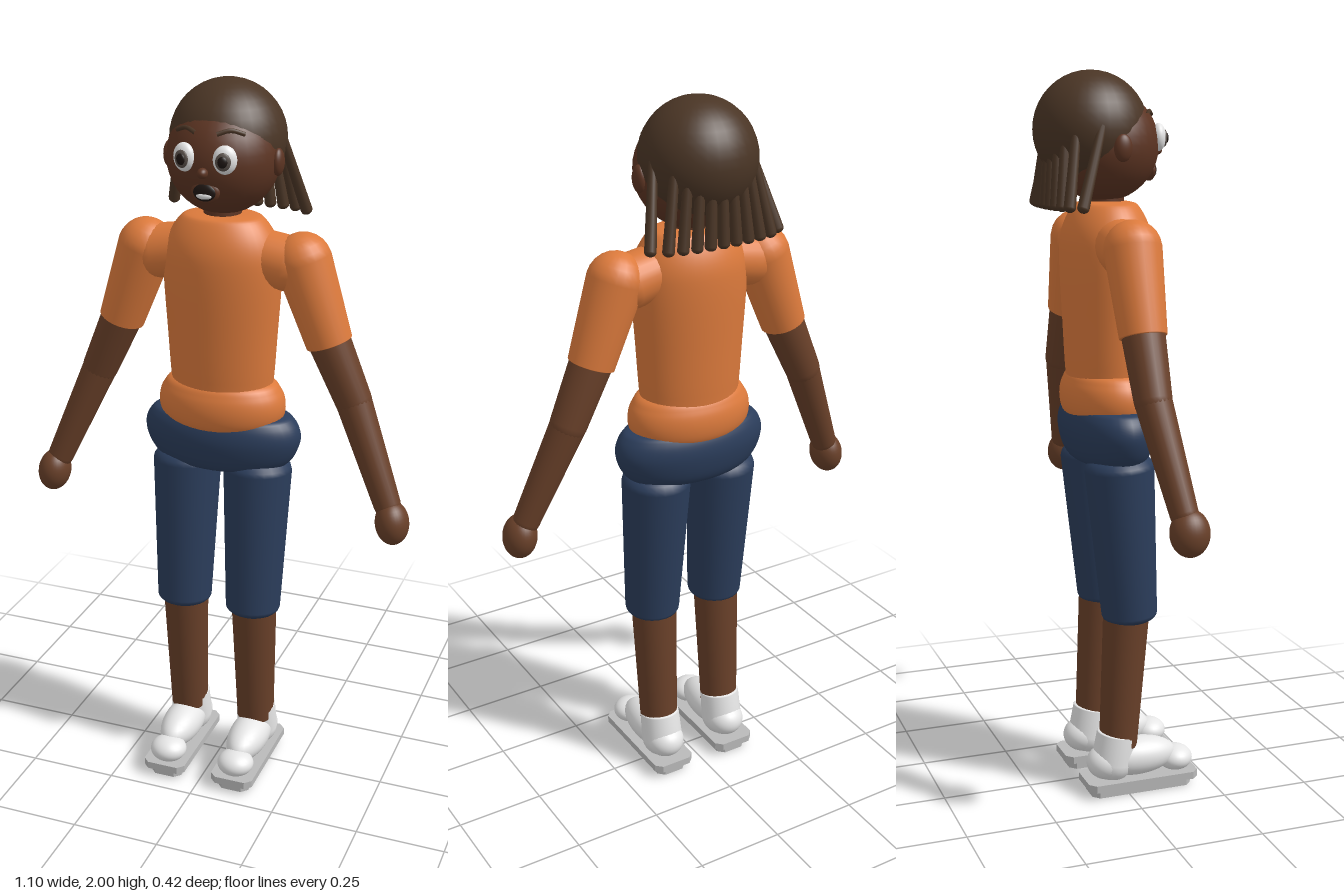
import * as THREE from 'three';

const mat = (name, color) => Object.assign(new THREE.MeshStandardMaterial({ color }), { name });
const M = {
  face: mat('face skin', 0x5c3422),
  skin: mat('limb skin', 0x694029),
  hair: mat('hair brown', 0x4a3525),
  shirt: mat('shirt orange', 0xdc7a3c),
  pants: mat('trouser blue', 0x2b3d5b),
  white: mat('white', 0xe6e6e6),
  sole: mat('sole grey', 0xbababa),
  dark: mat('dark', 0x1d1512),
  iris: mat('iris grey', 0x5a514b),
};
const V = (x, y, z) => new THREE.Vector3(x, y, z);

export function createModel() {
  const model = new THREE.Group();
  model.name = 'person';

  const add = (name, geo, material, parent = model) => {
    const mesh = new THREE.Mesh(geo, material);
    mesh.name = name;
    parent.add(mesh);
    return mesh;
  };

  const ball = (name, material, p, r, parent) => {
    const mesh = add(name, new THREE.SphereGeometry(1, 32, 20), material, parent);
    mesh.position.set(...p);
    mesh.scale.set(...r);
    return mesh;
  };

  // Tapered limb from a to b; capA and capB set how domed each end is
  const limb = (name, material, a, b, ra, rb, capA = 1, capB = 1, parent = model, seg = 24) => {
    const len = a.distanceTo(b);
    const pts = [];
    for (let i = 0; i <= 6; i++) {
      const t = (i / 6) * Math.PI / 2;
      pts.push(new THREE.Vector2(ra * Math.sin(t), -ra * capA * Math.cos(t)));
    }
    for (let i = 6; i >= 0; i--) {
      const t = (i / 6) * Math.PI / 2;
      pts.push(new THREE.Vector2(rb * Math.sin(t), len + rb * capB * Math.cos(t)));
    }
    const mesh = add(name, new THREE.LatheGeometry(pts, seg), material, parent);
    mesh.position.copy(a);
    mesh.quaternion.setFromUnitVectors(V(0, 1, 0), b.clone().sub(a).normalize());
    return mesh;
  };

  // Oval body section turned from a profile of [radius, y], bottom to top
  const oval = (name, material, profile, depth, z) => {
    const curve = new THREE.SplineCurve(profile.map(p => new THREE.Vector2(...p)));
    const pts = curve.getPoints(40).map(p => p.setX(Math.max(0, p.x)));
    const mesh = add(name, new THREE.LatheGeometry(pts, 40), material);
    mesh.scale.z = depth;
    mesh.position.z = z;
  };

  // Torso, shirt hem and hips
  oval('torso', M.shirt, [[0, 1.1], [0.13, 1.13], [0.143, 1.19], [0.153, 1.33], [0.163, 1.5],
    [0.154, 1.58], [0.118, 1.64], [0.085, 1.655], [0, 1.658]], 0.75, -0.017);
  oval('shirtHem', M.shirt, [[0, 1.055], [0.12, 1.06], [0.166, 1.082], [0.18, 1.125],
    [0.168, 1.17], [0.13, 1.2], [0, 1.21]], 0.69, -0.015);
  oval('hips', M.pants, [[0, 0.935], [0.14, 0.945], [0.197, 0.972], [0.225, 1.035],
    [0.21, 1.085], [0.165, 1.105], [0, 1.11]], 0.53, -0.018);
  limb('neck', M.face, V(0, 1.6, -0.015), V(0, 1.7, -0.02), 0.052, 0.05);

  // Head and hair cap
  const C = V(0, 1.805, -0.025), R = 0.15;
  const onHead = (x, y, off = 0) =>
    V(x, y, C.z + Math.sqrt(R * R - x * x - (y - C.y) ** 2) + off);
  ball('head', M.face, C.toArray(), [R, R, R]);
  ball('hairCap', M.hair, [0, 1.845, -0.06], [0.155, 0.155, 0.155]);

  // Locks fanned around the back of the head
  for (let i = 0; i <= 10; i++) {
    const u = -1 + i / 5, back = Math.sqrt(1 - u * u);
    limb('hairLock', M.hair, V(0.14 * u, 1.86, -0.075 - 0.1 * back),
      V(0.19 * u, 1.65, -0.145 - 0.04 * back), 0.012, 0.016, 1, 0.8, model, 12);
  }

  // Nose and mouth
  ball('nose', M.face, [0, 1.79, 0.127], [0.014, 0.014, 0.018]);
  ball('lips', M.face, [0, 1.738, 0.107], [0.039, 0.03, 0.014]);
  ball('mouth', M.dark, [0, 1.738, 0.112], [0.032, 0.024, 0.012]);
  ball('teeth', M.white, [0, 1.73, 0.118], [0.022, 0.009, 0.008]);

  for (const s of [-1, 1]) {
    const side = new THREE.Group();
    side.name = s > 0 ? 'leftSide' : 'rightSide';
    model.add(side);

    // Eye, brow and ear
    const turn = s * 0.25;
    ball('eyeWhite', M.white, [s * 0.055, 1.825, 0.113], [0.031, 0.037, 0.02], side).rotation.y = turn;
    ball('iris', M.iris, [s * 0.056, 1.823, 0.13], [0.02, 0.023, 0.007], side).rotation.y = turn;
    ball('pupil', M.dark, [s * 0.056, 1.823, 0.134], [0.013, 0.015, 0.007], side).rotation.y = turn;
    const brow = new THREE.CatmullRomCurve3([[0.028, 1.885], [0.06, 1.893], [0.092, 1.883]]
      .map(([x, y]) => onHead(s * x, y, 0.003)));
    add('brow', new THREE.TubeGeometry(brow, 12, 0.006, 8), M.hair, side);
    ball('ear', M.face, [s * 0.15, 1.8, -0.022], [0.016, 0.036, 0.025], side);

    // Shoulder, sleeve, arm and hand
    limb('shoulder', M.shirt, V(s * 0.08, 1.555, -0.02), V(s * 0.182, 1.535, -0.02), 0.07, 0.074, 1, 1, side);
    limb('sleeve', M.shirt, V(s * 0.223, 1.545, -0.022), V(s * 0.3, 1.33, -0.022), 0.077, 0.063, 1, 0.1, side);
    limb('upperArm', M.skin, V(s * 0.295, 1.345, -0.022), V(s * 0.372, 1.175, -0.022), 0.058, 0.05, 1, 1, side);
    limb('forearm', M.skin, V(s * 0.372, 1.175, -0.022), V(s * 0.487, 0.905, 0.018), 0.049, 0.037, 1, 1, side);
    ball('hand', M.skin, [s * 0.505, 0.858, 0.027], [0.046, 0.062, 0.053], side).rotation.z = s * 0.15;

    // Trouser leg and shin
    const x = s * 0.105;
    limb('trouserLeg', M.pants, V(x, 0.94, -0.015), V(x, 0.525, 0.015), 0.096, 0.078, 0.5, 0.4, side);
    limb('shin', M.skin, V(x, 0.53, 0.006), V(x, 0.14, -0.018), 0.065, 0.054, 1, 0.3, side);

    // Shoe
    limb('shoeCuff', M.white, V(x, 0.17, -0.022), V(x, 0.09, -0.035), 0.057, 0.06, 0.15, 1, side);
    ball('shoeBody', M.white, [x, 0.095, 0.035], [0.057, 0.055, 0.12], side);
    ball('shoeHeel', M.white, [x, 0.088, -0.05], [0.056, 0.05, 0.06], side);
    ball('shoeToe', M.white, [x, 0.073, 0.155], [0.053, 0.036, 0.05], side);

    // Two stacked sole slabs with cut corners
    for (const [name, w, z0, z1, y0, y1] of [
      ['sole', 0.063, -0.12, 0.207, 0.024, 0.045], ['tread', 0.047, -0.105, 0.192, 0, 0.024]]) {
      const c = 0.018;
      const shape = new THREE.Shape([[-w + c, z0], [w - c, z0], [w, z0 + c], [w, z1 - c],
        [w - c, z1], [-w + c, z1], [-w, z1 - c], [-w, z0 + c]].map(([a, b]) => new THREE.Vector2(a, b)));
      const slab = add(name, new THREE.ExtrudeGeometry(shape, { depth: y1 - y0, bevelEnabled: false }), M.sole, side);
      slab.rotation.x = Math.PI / 2;
      slab.position.set(x, y1, 0);
    }
  }
  return model;
}
